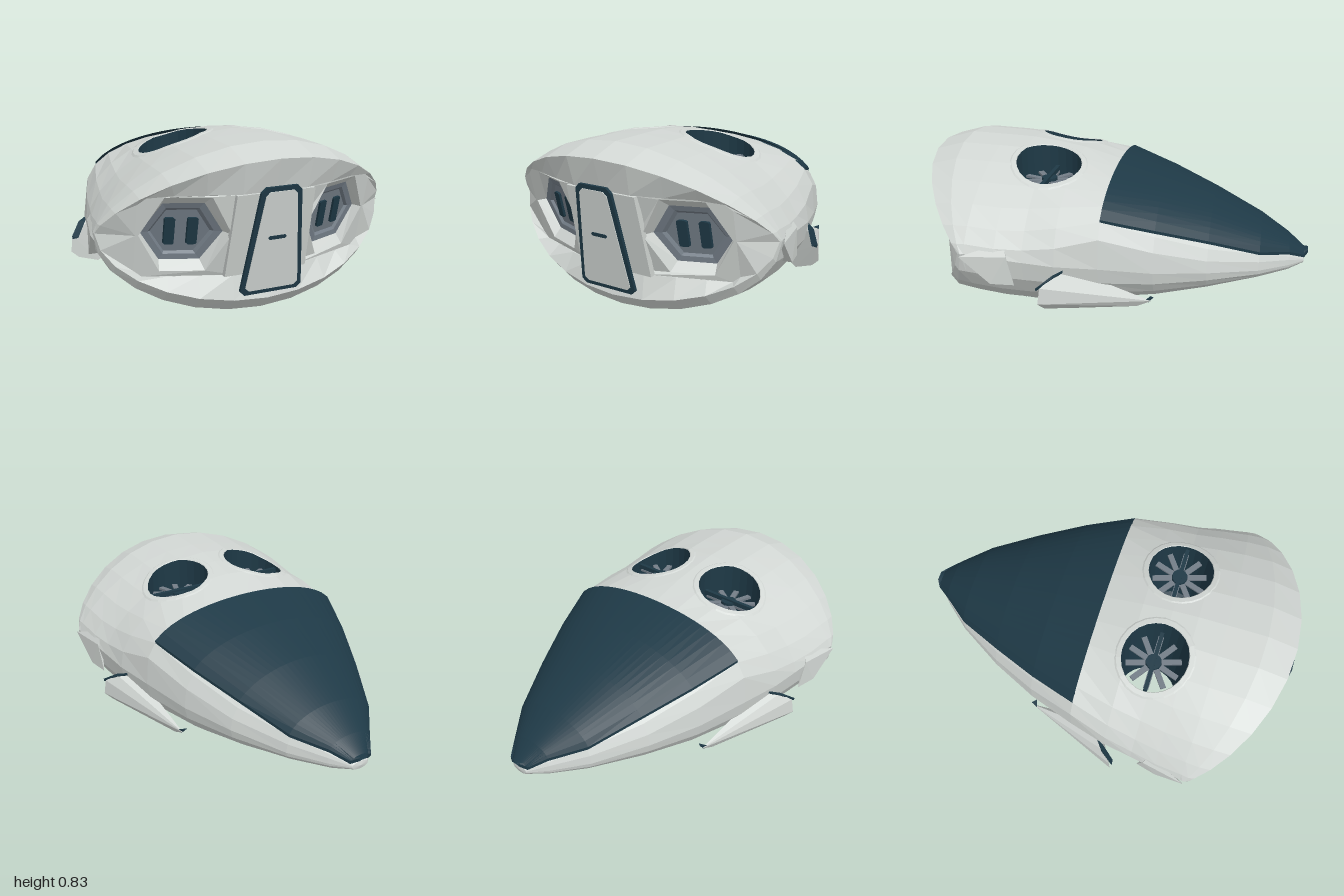
import * as THREE from 'three';
import { ConvexGeometry } from 'three/addons/geometries/ConvexGeometry.js';

const V = (x, y, z) => new THREE.Vector3(x, y, z);
const paint = (name, color) =>
  Object.assign(new THREE.MeshStandardMaterial({ color, flatShading: true, side: THREE.DoubleSide }), { name });

// hull stations: z, half width, bottom, widest height, top, roundness of the upper half
const STATIONS = [
  [-0.98, 0.045, 0.225, 0.245, 0.265, 0.8], [-0.9, 0.125, 0.195, 0.25, 0.33, 0.7],
  [-0.75, 0.25, 0.17, 0.265, 0.425, 0.85], [-0.5, 0.4, 0.115, 0.3, 0.55, 0.95],
  [-0.25, 0.515, 0.065, 0.33, 0.65, 0.75], [0, 0.6, 0.03, 0.37, 0.73, 0.6],
  [0.2, 0.655, 0.008, 0.39, 0.785, 1], [0.35, 0.68, 0, 0.41, 0.81, 1.3],
  [0.48, 0.705, 0.008, 0.43, 0.825, 1.45], [0.62, 0.72, 0.03, 0.45, 0.83, 1.45],
];
const station = z => STATIONS.find(s => s[0] >= z - 1e-6);
const SEG = 28;
const around = fn => Array.from({ length: SEG }, (_, i) => {
  const t = (i / SEG) * Math.PI * 2, s = Math.sin(t);
  return fn(Math.cos(t), Math.abs(s), s >= 0);
});

// triangles between successive rings of points
function loftTriangles(rings) {
  const out = [];
  for (let r = 0; r + 1 < rings.length; r++) {
    const a = rings[r], b = rings[r + 1], n = a.length;
    for (let i = 0; i < n; i++) {
      const j = (i + 1) % n;
      out.push([a[i], a[j], b[j]], [a[i], b[j], b[i]]);
    }
  }
  return out;
}
function fromTriangles(tris) {
  const g = new THREE.BufferGeometry().setFromPoints(tris.flat());
  g.computeVertexNormals();
  return g;
}
const loft = rings => fromTriangles(loftTriangles(rings));

// cut a vertical round shaft out of a triangle list
function cutShaft(tris, cx, cz, r, n = 24) {
  const sides = Array.from({ length: n }, (_, i) => {
    const t = ((i + 0.5) / n) * Math.PI * 2, d = r * Math.cos(Math.PI / n);
    return p => (p.x - cx) * Math.cos(t) + (p.z - cz) * Math.sin(t) - d;
  });
  const out = [];
  for (const tri of tris) {
    if (sides.some(f => tri.every(p => f(p) >= 0))) { out.push(tri); continue; }
    let inside = tri;
    for (const f of sides) {
      const outer = [], inner = [];
      inside.forEach((p, i) => {
        const q = inside[(i + 1) % inside.length], a = f(p), b = f(q);
        (a >= 0 ? outer : inner).push(p);
        if ((a >= 0) !== (b >= 0)) {
          const m = p.clone().lerp(q, a / (a - b));
          outer.push(m); inner.push(m);
        }
      });
      for (let i = 1; i + 1 < outer.length; i++) out.push([outer[0], outer[i], outer[i + 1]]);
      inside = inner;
      if (inside.length < 3) break;
    }
  }
  return out;
}

// slanted planes of the door column, the engine wall and the door
const columnZ = (x, y) => 0.95 + (y - 0.64) * 0.22;
const wallZ = (x, y) => columnZ(x, y) - 0.012 - 0.36 * Math.max(0, Math.abs(x) - 0.18);
const doorZ = (x, y) => 0.985 + (y - 0.67) * 0.16;
function lay(geo, plane, offset = 0) {
  const p = geo.attributes.position;
  for (let i = 0; i < p.count; i++) p.setZ(i, p.getZ(i) + plane(p.getX(i), p.getY(i)) + offset);
  geo.computeVertexNormals();
  return geo;
}
const poly = pts => new THREE.Shape(pts.map(p => new THREE.Vector2(p[0], p[1])));
const slab = (shape, depth) => new THREE.ExtrudeGeometry(shape, { depth, bevelEnabled: false });
const rect = (cx, cy, w, h) => {
  const c = 0.006, x = w / 2, y = h / 2;
  return poly([[-x + c, -y], [x - c, -y], [x, -y + c], [x, y - c], [x - c, y], [-x + c, y], [-x, y - c], [-x, -y + c]]
    .map(p => [p[0] + cx, p[1] + cy]));
};
const hexagon = (cx, rx, h) => [[1, 0], [0.5, 1], [-0.5, 1], [-1, 0], [-0.5, -1], [0.5, -1]]
  .map(p => [cx + p[0] * rx, 0.455 + p[1] * h]);
const trapezoid = (y0, y1, w0, w1, c) => poly([[-w0 + c, y0], [w0 - c, y0], [w0, y0 + c], [w1, y1 - c],
  [w1 - c, y1], [-w1 + c, y1], [-w1, y1 - c], [-w0, y0 + c]]);

export function createModel() {
  const model = new THREE.Group();
  model.name = 'spacecraft';
  const white = paint('hull grey', 0xd1d6d3), teal = paint('dark teal', 0x1e3946), steel = paint('blue steel', 0x737d87);
  const add = (name, geo, mat, parent = model) => {
    const m = new THREE.Mesh(geo, mat);
    m.name = name;
    parent.add(m);
  };

  // hull: planar stations, then two curved rings forming the mouth
  const rings = STATIONS.map(([z, a, b, r, t, p]) => around((c, s, up) =>
    V(a * c, up ? r + (t - r) * s ** p : r - (r - b) * s ** 0.95, z)));
  rings.unshift(around(() => V(0, 0.245, -0.985)));
  const shoulder = around((c, s, up) =>
    V(0.725 * c, up ? 0.45 + 0.385 * s ** 1.45 : 0.44 - 0.38 * s, 0.635 + 0.19 * s ** 1.5));
  const rim = around((c, s, up) => up
    ? V(0.72 * c, 0.45 + 0.34 * s ** 1.35, 0.65 + 0.33 * s ** 1.5)
    : V(0.72 * c, 0.45 - 0.32 * s, 0.65 + 0.24 * s ** 1.5));
  rings.push(shoulder, rim);
  let hullTris = loftTriangles(rings);
  const probe = new THREE.Mesh(fromTriangles(hullTris), white);
  const ray = new THREE.Raycaster();
  const hullY = (x, z, up) => {
    ray.set(V(x, up ? 2 : -2, z), V(0, up ? -1 : 1, 0));
    return ray.intersectObject(probe)[0].point.y;
  };
  for (const side of [-1, 1]) hullTris = cutShaft(hullTris, side * 0.24, 0.33, 0.165);
  add('hull', fromTriangles(hullTris), white);

  // mouth lining between the rim and the engine wall, with broad facets at the corners
  const inner = rim.map(p => {
    const corner = Math.abs(p.x) > 0.6;
    const x = corner ? Math.sign(p.x) * 0.57 : p.x * 0.95;
    const y = !corner ? THREE.MathUtils.clamp(p.y, 0.25, 0.64) : p.y > 0.53 ? 0.6 : p.y < 0.37 ? 0.28 : 0.455;
    return V(x, y, wallZ(x, y));
  });
  add('mouthLining', loft([rim, inner]), white);

  for (const side of [-1, 1]) {
    // engine wall with a tapered hexagonal recess
    const cx = side * 0.37;
    const half = inner.filter(p => p.x * side > -1e-6).sort((p, q) =>
      Math.atan2(p.y - 0.45, p.x * side) - Math.atan2(q.y - 0.45, q.x * side));
    const wall = poly(half.filter((p, i) => !i || p.distanceTo(half[i - 1]) > 1e-4).map(p => [p.x, p.y]));
    const outer = hexagon(cx, 0.188, 0.178), throat = hexagon(cx, 0.168, 0.137);
    const frame = hexagon(cx, 0.135, 0.112), plate = hexagon(cx, 0.122, 0.1);
    wall.holes.push(new THREE.Path(outer.map(p => new THREE.Vector2(...p))));
    add('engineWall', lay(new THREE.ShapeGeometry(wall), wallZ), white);
    const engine = new THREE.Group();
    engine.name = side > 0 ? 'leftEngine' : 'rightEngine';
    model.add(engine);
    const ring = (pts, z) => pts.map(p => V(p[0], p[1], z));
    add('recess', lay(loft([ring(outer, 0), ring(throat, -0.05)]), wallZ), white, engine);
    add('nozzle', lay(loft([ring(throat, -0.05), ring(frame, -0.055), ring(plate, -0.068)]), wallZ), steel, engine);
    add('nozzlePlate', lay(new THREE.ShapeGeometry(poly(plate)), wallZ, -0.068), steel, engine);
    for (const dx of [-0.047, 0.047])
      add('exhaustSlot', lay(slab(rect(cx + dx, 0.455, 0.042, 0.13), 0.015), wallZ, -0.068), teal, engine);

    // lift fan: raised lip, shaft, blades
    const fan = new THREE.Group();
    fan.name = side > 0 ? 'leftFan' : 'rightFan';
    model.add(fan);
    const fx = side * 0.24, fz = 0.33, fy = 0.67;
    const circle = (r, up, lift) => Array.from({ length: 24 }, (_, i) => {
      const t = (i / 24) * Math.PI * 2, x = fx + r * Math.cos(t), z = fz + r * Math.sin(t);
      return V(x, hullY(x, z, up) + (up ? lift : -lift), z);
    });
    for (const up of [true, false])
      add('fanLip', loft([circle(0.165, up, 0), circle(0.168, up, 0.004), circle(0.19, up, 0.004), circle(0.198, up, 0)]), white, fan);
    add('fanShaft', loft([circle(0.165, true, 0), circle(0.165, false, 0)]), teal, fan);
    if (side > 0) {
      add('fanFloor', loft([circle(0.165, false, -0.004), circle(0.001, false, -0.004)]), teal, fan);
      const corner = [[0.41, 0.46], [0.45, 0.22], [0.4, 0.32]].map(([x, z]) => V(x, hullY(x, z, false) - 0.008, z));
      add('bellyPlate', fromTriangles([corner]), teal, fan);
    }
    add('fanHub', new THREE.CylinderGeometry(0.04, 0.04, 0.04, 12).translate(fx, fy, fz), teal, fan);
    add('fanBar', new THREE.BoxGeometry(0.31, 0.03, 0.02).translate(fx, fy + 0.015, fz), teal, fan);
    for (let i = 0; i < 10; i++)
      add('fanBlade', new THREE.BoxGeometry(0.1, 0.012, 0.028).translate(0.09, 0, 0)
        .rotateY(i * Math.PI / 5).translate(fx, fy, fz), steel, fan);

    // flank details: wedge pod, its dark rear edge and tip, folded plate behind
    const solid = (name, pts, mat) => add(name, new ConvexGeometry(pts.map(p => V(side * p[0], p[1], p[2]))), mat);
    solid('sidePod', [[0.53, 0.19, -0.25], [0.54, 0.16, -0.18], [0.59, 0.36, 0.15], [0.68, 0.35, 0.2], [0.73, 0.31, 0.25],
      [0.74, 0.23, 0.26], [0.7, 0.19, 0.24], [0.59, 0.135, 0.18], [0.5, 0.15, 0.12], [0.51, 0.17, 0], [0.59, 0.27, 0]], white);
    solid('podEdge', [[0.64, 0.37, 0.16], [0.685, 0.36, 0.2], [0.735, 0.312, 0.268], [0.64, 0.357, 0.16],
      [0.69, 0.345, 0.2], [0.733, 0.296, 0.268], [0.65, 0.355, 0.19], [0.705, 0.298, 0.266]], teal);
    solid('podTip', [[0.525, 0.208, -0.26], [0.54, 0.2, -0.225], [0.532, 0.18, -0.235], [0.5, 0.2, -0.24]], teal);
    solid('flankPlate', [[0.66, 0.5, 0.44], [0.695, 0.44, 0.42], [0.685, 0.29, 0.39], [0.712, 0.3, 0.5],
      [0.735, 0.44, 0.64], [0.66, 0.32, 0.55]], white);
  }

  // canopy: a shell that follows the hull top
  const canopyRows = [[-1, 0.025], [-0.98, 0.06], [-0.9, 0.118], [-0.75, 0.235], [-0.5, 0.35], [-0.25, 0.455], [0, 0.54]];
  const canopy = canopyRows.map(([z, w]) => {
    const [, a, , r, t, p] = station(z), lift = 0.012 - 0.026 * z;
    const edge = (i, off) => {
      const x = (w * i) / 12, c = Math.min(0.99, Math.abs(x) / a);
      return V(x, r + (t - r) * Math.sqrt(1 - c * c) ** p + off, z);
    };
    const steps = Array.from({ length: 25 }, (_, i) => i - 12);
    return [...steps.map(i => edge(i, lift)), ...steps.reverse().map(i => edge(i, lift - 0.015))];
  });
  add('canopy', loft(canopy), teal);

  // door column, door frame, panel and handle
  add('doorColumn', lay(slab(poly([[-0.2, 0.25], [0.2, 0.25], [0.185, 0.64], [-0.185, 0.64]]), 0.03), columnZ, -0.03), white);
  add('doorFrame', lay(slab(trapezoid(0.17, 0.675, 0.15, 0.095, 0.022), 0.015), doorZ, -0.005), teal);
  add('doorPanel', lay(slab(trapezoid(0.19, 0.655, 0.128, 0.074, 0.018), 0.004), doorZ, 0.01), white);
  add('doorHandle', lay(slab(rect(0, 0.442, 0.085, 0.017), 0.004), doorZ, 0.013), teal);
  return model;
}
